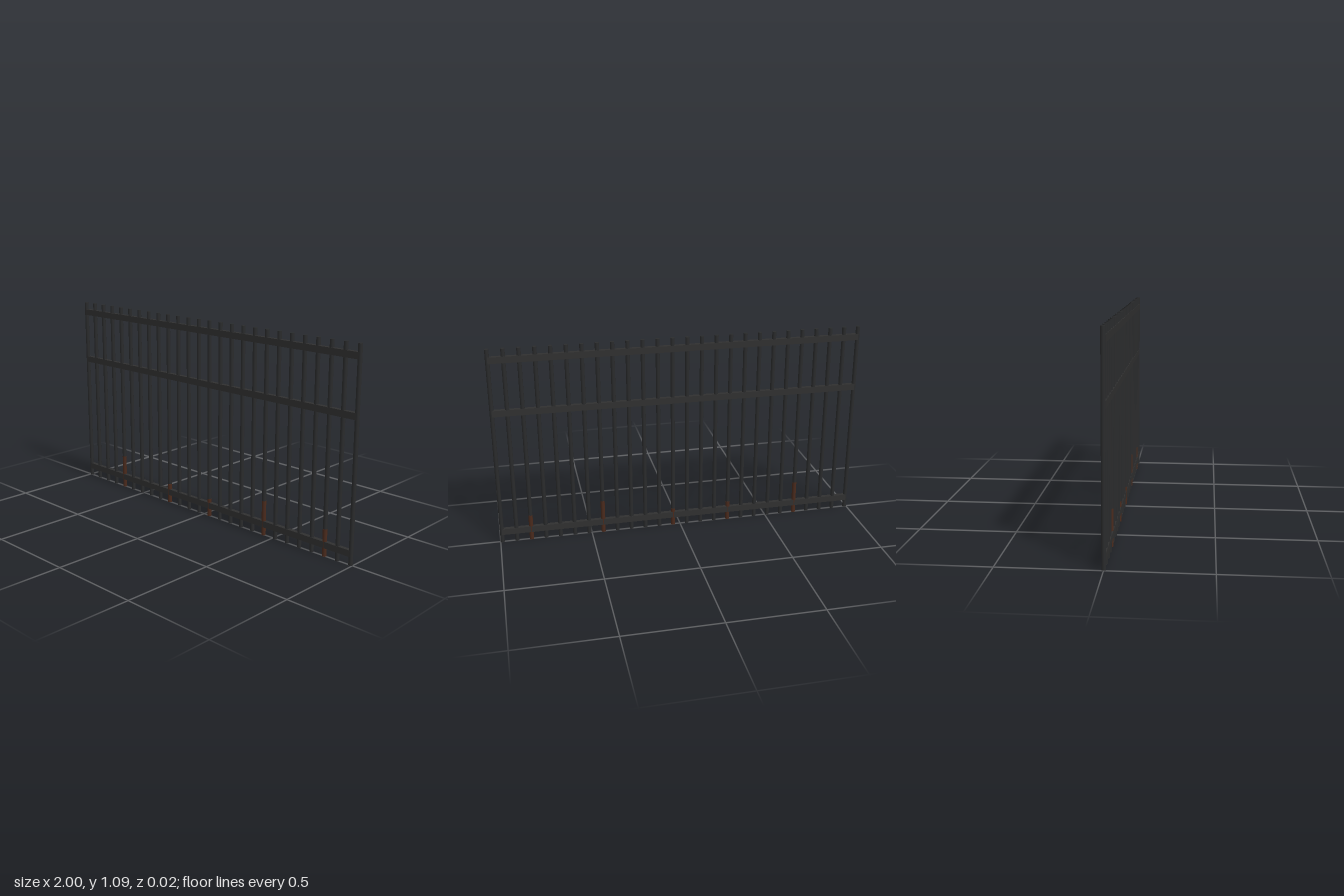
import * as THREE from 'three';

export function createModel() {
  const group = new THREE.Group();
  group.name = 'metalFence';

  const material = (name, color) => {
    const m = new THREE.MeshStandardMaterial({ color });
    m.name = name;
    return m;
  };
  const barMetal = material('blackBarMetal', 0x2a2b2c);
  const railMetal = material('darkRailMetal', 0x303030);
  const rust = material('rust', 0x4a2a1c);

  const add = (name, geometry, mat, x, y) => {
    const mesh = new THREE.Mesh(geometry, mat);
    mesh.name = name;
    mesh.position.set(x, y, 0);
    group.add(mesh);
  };

  const height = 1.092, radius = 0.011, count = 26;
  const halfSpan = 1 - radius;
  const barX = i => -halfSpan + (2 * halfSpan * i) / (count - 1);

  // Evenly spaced upright round bars
  const barGeometry = new THREE.CylinderGeometry(radius, radius, height, 12);
  for (let i = 0; i < count; i++) {
    add('uprightBar', barGeometry, barMetal, barX(i), height / 2);
  }

  // Three flat horizontal rails
  const railGeometry = new THREE.BoxGeometry(2 * halfSpan, 0.034, 0.022);
  for (const y of [0.062, 0.747, 1.034]) add('rail', railGeometry, railMetal, 0, y);

  // Thin rust sleeves at the feet of some bars: [bar index, height]
  for (const [i, h] of [[4, 0.19], [9, 0.11], [13, 0.1], [18, 0.19], [23, 0.145]]) {
    const sleeve = new THREE.CylinderGeometry(radius + 0.0006, radius + 0.0006, h, 12);
    add('rustPatch', sleeve, rust, barX(i), h / 2);
  }

  return group;
}
